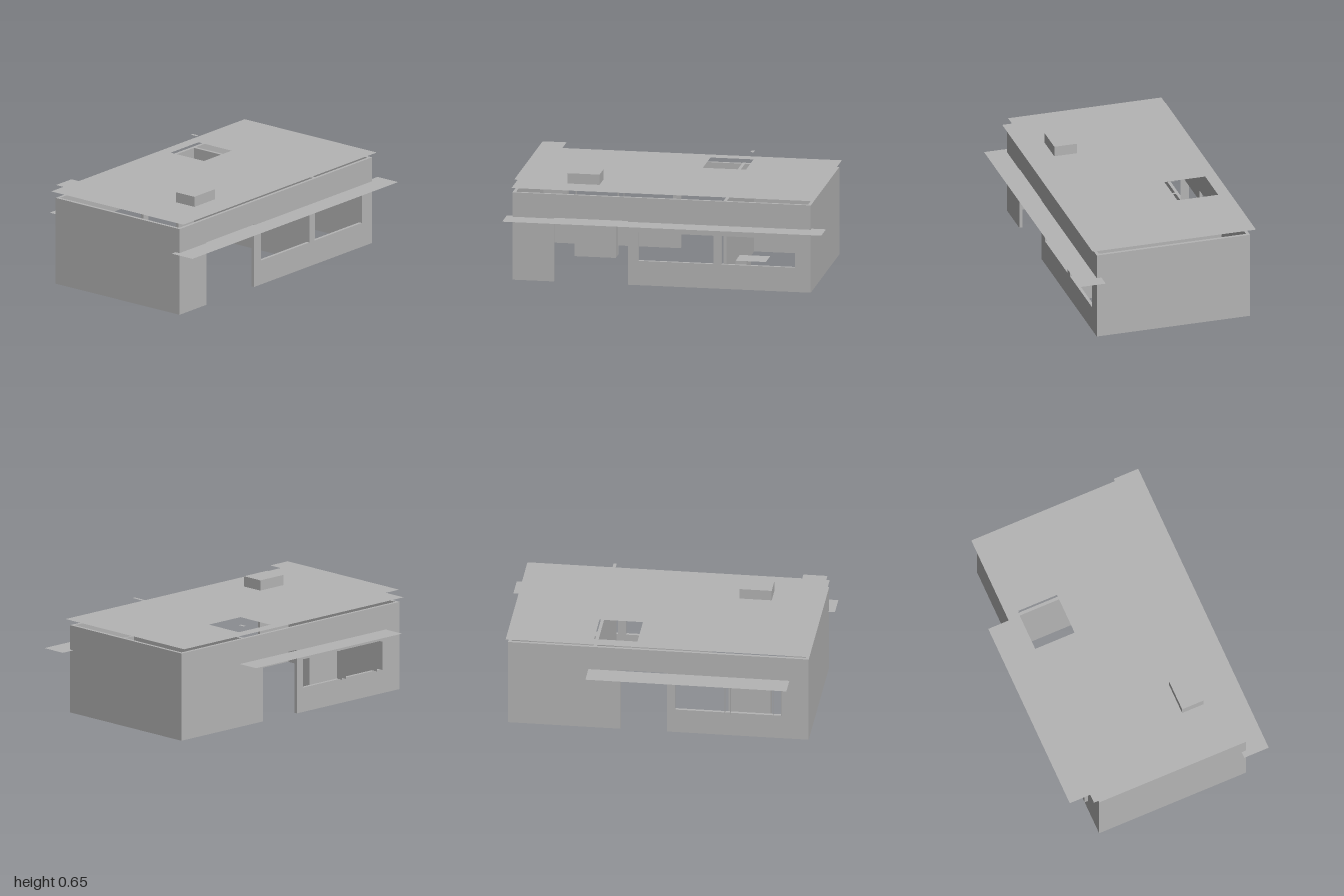
import * as THREE from 'three';

export function createModel() {
  const model = new THREE.Group();
  const grey = new THREE.MeshStandardMaterial({ color: 0xb4b4b4, side: THREE.DoubleSide });
  grey.name = 'plain grey';

  const add = (name, geometry) => {
    const mesh = new THREE.Mesh(geometry, grey);
    mesh.name = name;
    model.add(mesh);
    return mesh;
  };
  const box = (name, x0, x1, y0, y1, z0, z1) =>
    add(name, new THREE.BoxGeometry(x1 - x0, y1 - y0, z1 - z0))
      .position.set((x0 + x1) / 2, (y0 + y1) / 2, (z0 + z1) / 2);

  // Rectangle outline, used for shapes and for holes
  const rect = (path, x0, x1, y0, y1) =>
    path.moveTo(x0, y0).lineTo(x1, y0).lineTo(x1, y1).lineTo(x0, y1).closePath();

  // Flat horizontal sheet with optional rectangular holes [x0, x1, z0, z1]
  const sheet = (name, y, x0, x1, z0, z1, holes = []) => {
    const shape = rect(new THREE.Shape(), x0, x1, -z1, -z0);
    for (const h of holes) shape.holes.push(rect(new THREE.Path(), h[0], h[1], -h[3], -h[2]));
    const geometry = new THREE.ShapeGeometry(shape);
    geometry.rotateX(-Math.PI / 2);
    add(name, geometry).position.y = y;
  };

  const T = 0.02, H = 0.555, L = -0.96, R = 0.91, D = 0.495;

  // Upright wall with a doorway cut into its lower edge and window holes
  const wall = (name, z, door, windows) => {
    const [d0, d1, top] = door;
    const shape = new THREE.Shape();
    shape.moveTo(L + T, 0).lineTo(d0, 0).lineTo(d0, top).lineTo(d1, top).lineTo(d1, 0)
      .lineTo(R - T, 0).lineTo(R - T, H).lineTo(L + T, H).closePath();
    for (const [x0, x1] of windows) shape.holes.push(rect(new THREE.Path(), x0, x1, 0.155, 0.335));
    add(name, new THREE.ExtrudeGeometry(shape, { depth: T, bevelEnabled: false })).position.z = z;
  };

  // Outer and inner walls
  wall('frontWall', D - T, [-0.70, -0.235, 0.405], [[-0.17, 0.30], [0.35, 0.81]]);
  wall('backWall', -D, [-0.08, 0.21, 0.405], [[-0.79, -0.13]]);
  box('rightEndWall', L, L + T, 0, H, -D, D);
  box('leftEndWall', R - T, R, 0, H, -D, D);
  box('partition', 0.36, 0.38, 0, H, -D + T, D - T);

  // Roof with skylight, raised strips and canopies
  sheet('roof', 0.59, -0.96, 0.92, -0.53, 0.525, [[0.11, 0.38, -0.455, -0.19]]);
  sheet('roofEdgeStrip', 0.635, -0.95, -0.80, -0.5, 0.49);
  sheet('partitionStripFront', 0.635, 0.36, 0.38, -0.19, 0.49);
  sheet('partitionStripBack', 0.635, 0.36, 0.38, -0.5, -0.455);
  sheet('frontCanopy', 0.4, -1, 1, 0.465, 0.63);
  sheet('backCanopy', 0.4, -0.84, 0.41, -0.64, -D);
  box('roofUnit', -0.64, -0.44, 0.59, 0.655, 0.205, 0.35);

  // Upright fins at the back window
  for (const x of [-0.44, -0.475, -0.74, -0.79]) {
    const fin = add('windowFin', new THREE.PlaneGeometry(0.045, 0.18));
    fin.rotation.y = Math.PI / 2;
    fin.position.set(x, 0.245, -0.4975);
  }

  // Open-bottomed cabinets
  for (const x of [-0.69, -0.56]) {
    const w = 0.13, h = 0.265, z0 = -0.245, z1 = -0.16;
    sheet('cabinetTop', h, x, x + w, z0, z1);
    for (const z of [z0, z1])
      add('cabinetFace', new THREE.PlaneGeometry(w, h)).position.set(x + w / 2, h / 2, z);
    for (const sx of [x + 0.001, x + w - 0.001]) {
      const side = add('cabinetSide', new THREE.PlaneGeometry(z1 - z0, h));
      side.rotation.y = Math.PI / 2;
      side.position.set(sx, h / 2, (z0 + z1) / 2);
    }
  }

  // Small stand with a wider top in the side room
  box('standBase', 0.38, 0.45, 0, 0.1, 0.02, 0.17);
  sheet('standTop', 0.1, 0.38, 0.57, 0.02, 0.17);

  return model;
}
